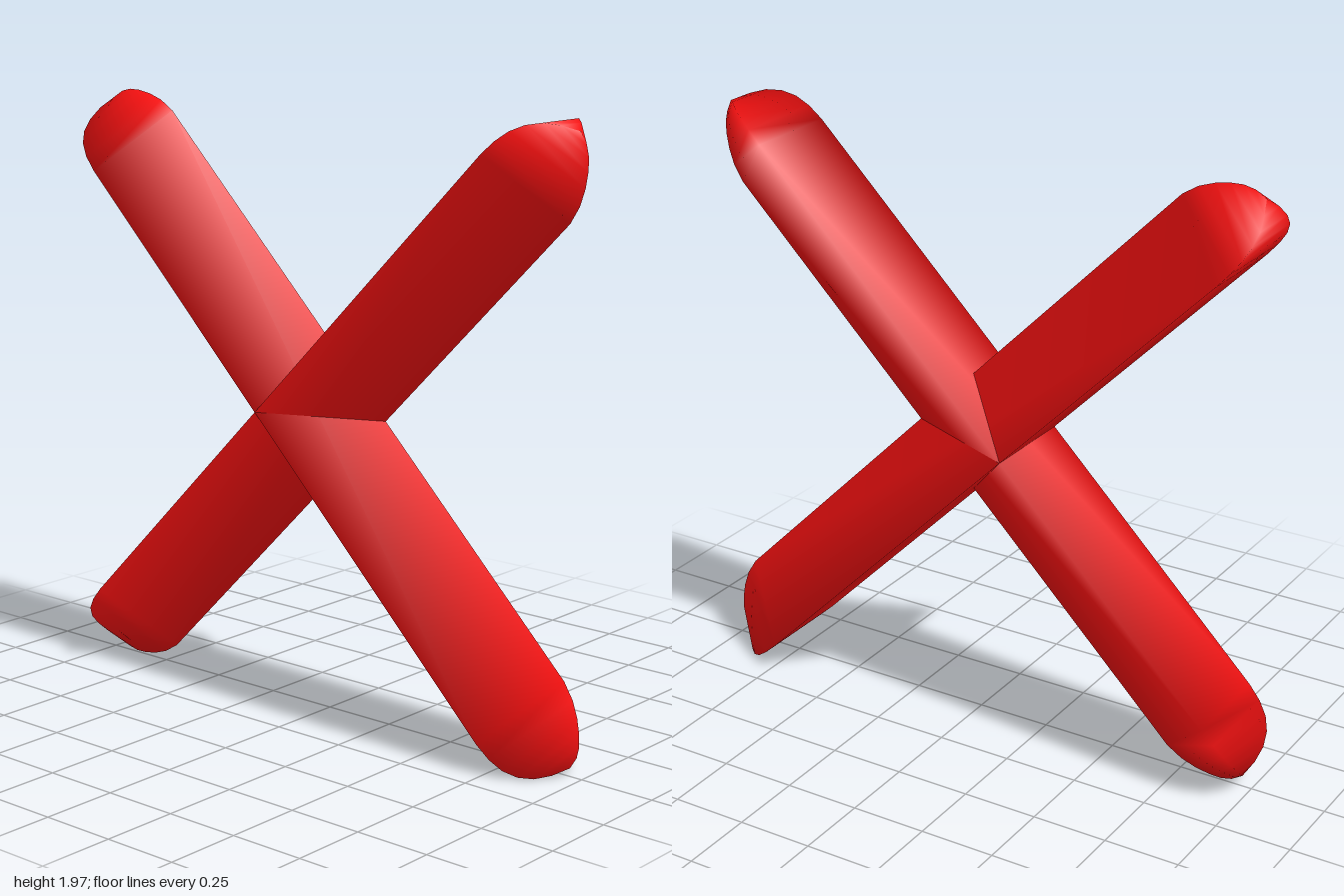
import * as THREE from 'three';

// End taper of a bar: distance along it, base depth, ridge depth, half width of base
const TAPER = [
  [1.14, 0, 0.4, 0.17],
  [1.2, 0.004, 0.38, 0.164],
  [1.25, 0.015, 0.345, 0.15],
  [1.29, 0.035, 0.305, 0.125],
  [1.32, 0.065, 0.265, 0.09],
  [1.34, 0.11, 0.22, 0.05],
  [1.35, 0.16, 0.16, 0],
];

// Triangular bar lofted along a diagonal; m = 1 rises to the left (+x), m = -1 falls
function diagonalBar(m) {
  const sections = [
    ...TAPER.slice().reverse().map(([u, ...rest]) => [-u, ...rest]),
    ...TAPER,
  ];
  const positions = [];
  const index = [];
  for (const [u, base, ridge, w] of sections) {
    for (const [t, z] of [[base, w], [base, -w], [ridge, 0]]) {
      const along = (u - m * 0.01) * Math.SQRT1_2;
      positions.push(along - 0.085 + t / 2, 1 + m * (along + 0.085 - t / 2), z);
    }
  }
  const tri = (a, b, c) => (m > 0 ? index.push(a, b, c) : index.push(a, c, b));
  for (let i = 0; i < sections.length - 1; i++) {
    for (let k = 0; k < 3; k++) {
      const p = i * 3 + k;
      const q = i * 3 + ((k + 1) % 3);
      tri(p, p + 3, q + 3);
      tri(p, q + 3, q);
    }
  }
  const geometry = new THREE.BufferGeometry();
  geometry.setAttribute('position', new THREE.Float32BufferAttribute(positions, 3));
  geometry.setIndex(index);
  geometry.computeVertexNormals(); // soft shading across the ridge and rims
  return geometry;
}

export function createModel() {
  const group = new THREE.Group();
  group.name = 'cross';
  const red = new THREE.MeshStandardMaterial({ color: 0xf01010 });

  // Two crossing bars, mirrored about the middle height
  for (const [name, m] of [['risingBar', 1], ['fallingBar', -1]]) {
    const bar = new THREE.Mesh(diagonalBar(m), red);
    bar.name = name;
    group.add(bar);
  }
  return group;
}
